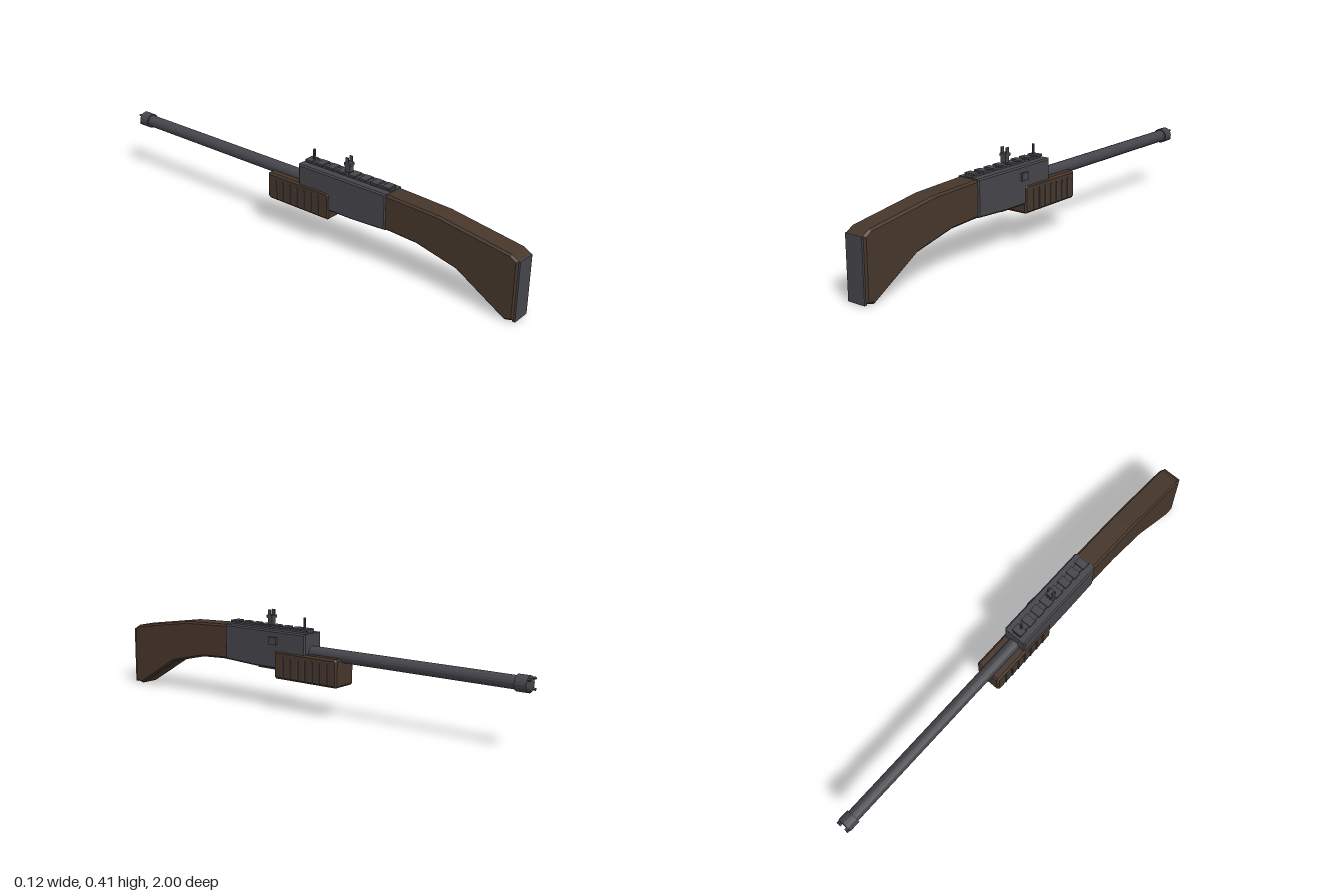
import * as THREE from 'three';

const metal = new THREE.MeshStandardMaterial({ color: 0x45454b });
metal.name = 'gunmetal grey';
const wood = new THREE.MeshStandardMaterial({ color: 0x46362b });
wood.name = 'dark walnut';
metal.flatShading = wood.flatShading = true;

export function createModel() {
  const model = new THREE.Group();

  function add(name, geometry, material, x = 0, y = 0, z = 0, parent = model) {
    const mesh = new THREE.Mesh(geometry, material);
    mesh.name = name;
    mesh.position.set(x, y, z);
    parent.add(mesh);
    return mesh;
  }
  function box(name, w, h, d, material, x, y, z, parent) {
    return add(name, new THREE.BoxGeometry(w, h, d), material, x, y, z, parent);
  }
  // Side profile of [z, y] points, extruded across x with a chamfered rim
  function slab(name, points, width, bevel, material) {
    const shape = new THREE.Shape(points.map(([z, y]) => new THREE.Vector2(z, y)));
    const geometry = new THREE.ExtrudeGeometry(shape, {
      depth: width - 2 * bevel, bevelEnabled: true, bevelSegments: 1,
      bevelSize: bevel, bevelThickness: bevel, bevelOffset: -bevel,
    });
    geometry.translate(0, 0, -(width / 2 - bevel));
    geometry.rotateY(-Math.PI / 2);
    return add(name, geometry, material);
  }
  function group(name) {
    const g = new THREE.Group();
    g.name = name;
    model.add(g);
    return g;
  }

  // Stock and butt pad
  slab('stock', [
    [0.41, 0.18], [0.56, 0.172], [0.74, 0.13], [0.955, 0.002], [0.994, 0.012],
    [0.994, 0.252], [0.965, 0.27], [0.655, 0.317], [0.41, 0.328],
  ], 0.094, 0.008, wood);
  box('buttPad', 0.08, 0.246, 0.012, metal, 0, 0.129, 0.994);

  // Receiver and the plate below it
  slab('receiver', [
    [-0.015, 0.2], [0.14, 0.172], [0.25, 0.172], [0.42, 0.18],
    [0.42, 0.33], [-0.015, 0.33],
  ], 0.104, 0.006, metal);
  box('floorPlate', 0.05, 0.02, 0.12, metal, 0, 0.172, 0.195);
  box('boltHandle', 0.012, 0.031, 0.04, metal, 0.054, 0.288, 0.15);

  // Forend with upright ribs on both sides
  slab('forend', [
    [-0.17, 0.132], [0.137, 0.132], [0.145, 0.14], [0.145, 0.24],
    [0.137, 0.248], [-0.17, 0.248], [-0.178, 0.24], [-0.178, 0.14],
  ], 0.114, 0.008, wood);
  const ribs = group('forendRibs');
  for (const side of [-1, 1]) {
    for (let i = 0; i < 7; i++) {
      box('rib', 0.006, 0.082, 0.006, metal, side * 0.057, 0.184, 0.094 - i * 0.0375, ribs);
    }
  }

  // Barrel, muzzle collar and its small crown teeth
  const tube = (name, radius, z0, z1, sides = 16) => {
    const geometry = new THREE.CylinderGeometry(radius, radius, z1 - z0, sides);
    geometry.rotateX(Math.PI / 2);
    return add(name, geometry, metal, 0, 0.253, (z0 + z1) / 2);
  };
  tube('barrel', 0.026, -0.95, 0.02);
  tube('muzzleCollar', 0.032, -0.988, -0.94);
  const crown = group('muzzleCrown');
  for (let i = 0; i < 4; i++) {
    const a = Math.PI / 4 + i * Math.PI / 2;
    const tooth = box('crownTooth', 0.007, 0.008, 0.018, metal,
      Math.cos(a) * 0.028, 0.253 + Math.sin(a) * 0.028, -0.991, crown);
    tooth.rotation.z = a;
  }

  // Top rail with cross teeth
  box('railBase', 0.034, 0.009, 0.42, metal, 0, 0.3345, 0.205);
  const rail = group('railTeeth');
  for (let i = 0; i < 8; i++) {
    box('railTooth', 0.046, 0.008, 0.034, metal, 0, 0.341, 0.396 - i * 0.0545, rail);
  }

  // Forked rear sight
  const rear = group('rearSight');
  box('rearSightStem', 0.024, 0.038, 0.022, metal, 0, 0.364, 0.203, rear);
  box('rearSightBridge', 0.03, 0.012, 0.03, metal, 0, 0.378, 0.203, rear);
  for (const side of [-1, 1]) {
    box('rearSightProng', 0.005, 0.026, 0.014, metal, side * 0.0125, 0.394, 0.203, rear);
  }

  // Front sight post
  add('frontSight', new THREE.CylinderGeometry(0.005, 0.005, 0.05, 8), metal, 0, 0.364, 0.026);

  return model;
}
